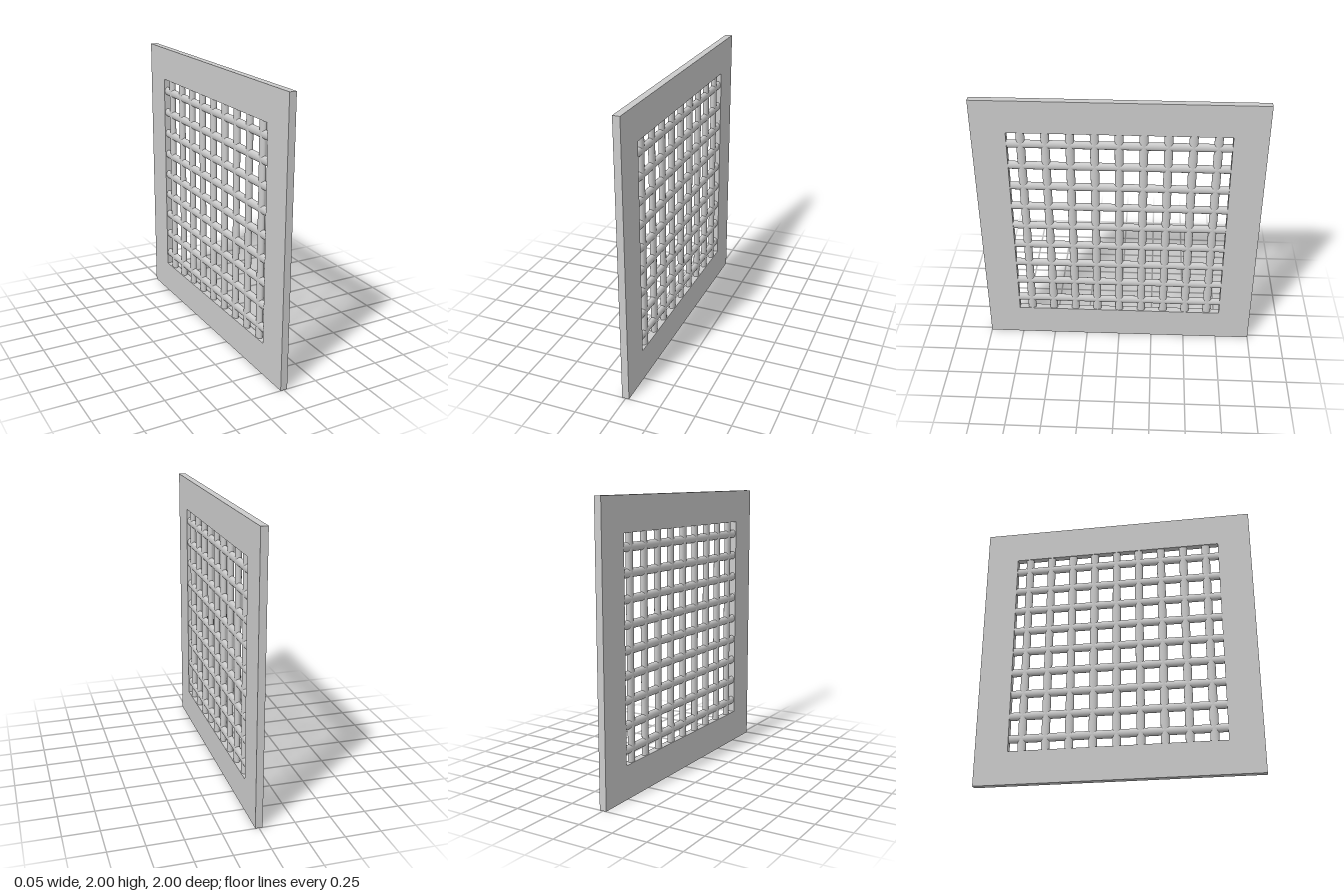
import * as THREE from 'three';

const HALF_THICKNESS = 0.025;
const OPENING = 0.763; // half size of the square opening
const PITCH = 0.1673;
const BARS = 9;

export function createModel() {
  const model = new THREE.Group();
  model.name = 'latticePanel';
  const material = new THREE.MeshStandardMaterial({ color: 0xcccccc });

  // Square frame with a square opening, facing along x
  const outline = new THREE.Shape();
  outline.moveTo(-1, -1).lineTo(1, -1).lineTo(1, 1).lineTo(-1, 1).closePath();
  const hole = new THREE.Path();
  const h = OPENING;
  hole.moveTo(-h, -h).lineTo(-h, h).lineTo(h, h).lineTo(h, -h).closePath();
  outline.holes.push(hole);
  const frameGeometry = new THREE.ExtrudeGeometry(outline, {
    depth: 2 * HALF_THICKNESS, bevelEnabled: false,
  });
  frameGeometry.translate(0, 0, -HALF_THICKNESS).rotateY(Math.PI / 2);
  const frame = new THREE.Mesh(frameGeometry, material);
  frame.name = 'frame';
  frame.position.y = 1;
  model.add(frame);

  // Rounded, slightly flattened bars crossing in one plane
  const upright = new THREE.CylinderGeometry(0.03, 0.03, 2 * OPENING + 0.02, 20, 1, true);
  upright.scale(0.7, 1, 1);
  const crosswise = upright.clone().rotateX(Math.PI / 2);
  for (let i = 0; i < BARS; i++) {
    const offset = (i - (BARS - 1) / 2) * PITCH;
    const vertical = new THREE.Mesh(upright, material);
    vertical.name = `verticalBar${i + 1}`;
    vertical.position.set(0, 1, offset);
    const horizontal = new THREE.Mesh(crosswise, material);
    horizontal.name = `horizontalBar${i + 1}`;
    horizontal.position.set(0, 1 + offset, 0);
    model.add(vertical, horizontal);
  }
  return model;
}
